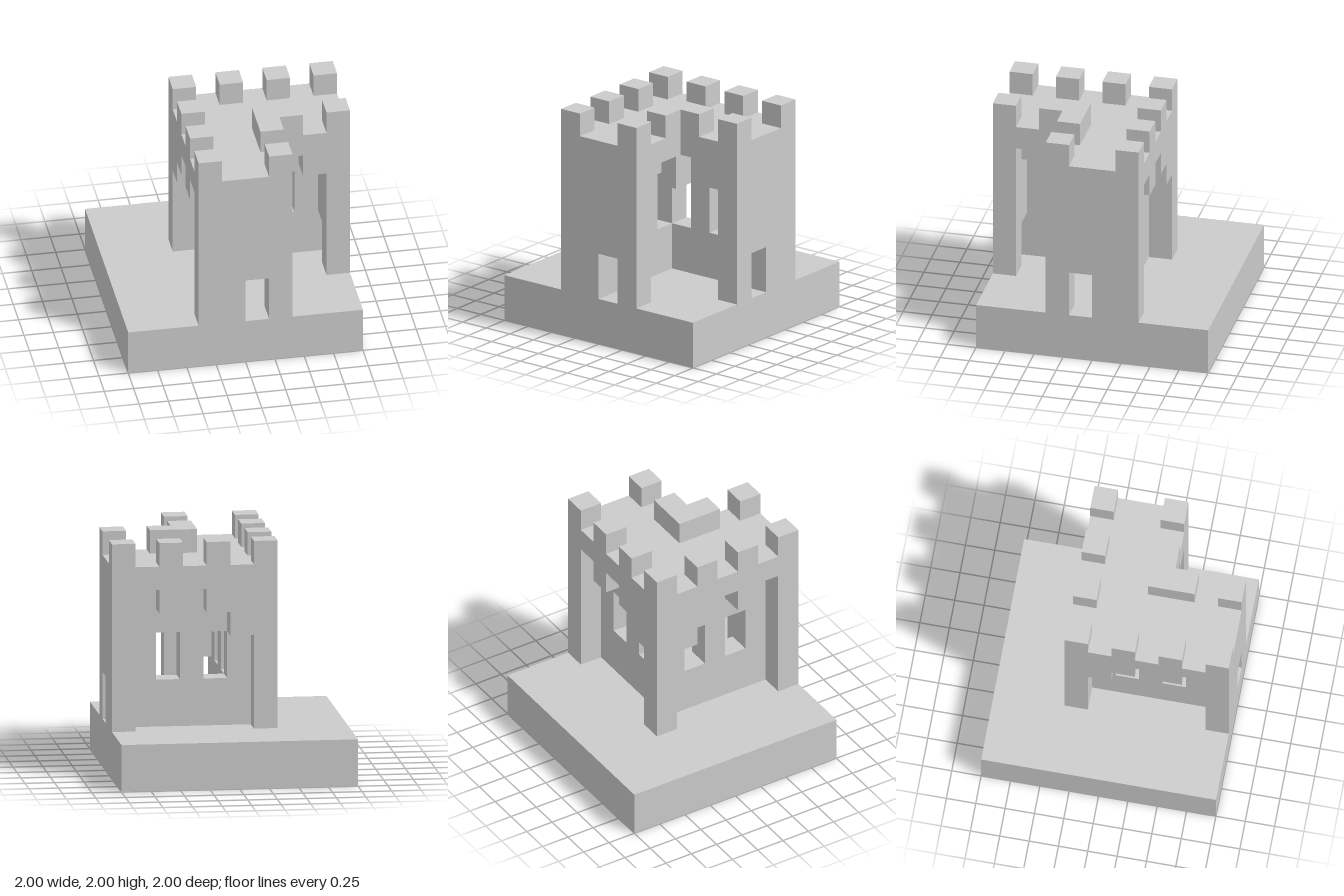
import * as THREE from 'three';

const U = 0.2; // one block
const material = new THREE.MeshStandardMaterial({ color: 0xcccccc, flatShading: true });

export function createModel() {
  const model = new THREE.Group();

  const add = (name, geometry) => {
    const mesh = new THREE.Mesh(geometry, material);
    mesh.name = name;
    model.add(mesh);
    return mesh;
  };

  // Box given by its lower and upper corners
  const box = (name, [x0, y0, z0], [x1, y1, z1]) =>
    add(name, new THREE.BoxGeometry(x1 - x0, y1 - y0, z1 - z0))
      .position.set((x0 + x1) / 2, (y0 + y1) / 2, (z0 + z1) / 2);

  const toShape = (points) => new THREE.Shape(points.map(([x, y]) => new THREE.Vector2(x, y)));

  // Upright wall one block thick: runs along x from depth z, or along z from depth x
  const wall = (name, outline, holes, depth, alongZ) => {
    const shape = toShape(outline);
    shape.holes = holes.map(toShape);
    const geometry = new THREE.ExtrudeGeometry(shape, { depth: U, bevelEnabled: false });
    geometry.translate(0, 0, alongZ ? -depth - U : depth);
    if (alongZ) geometry.rotateY(-Math.PI / 2);
    add(name, geometry);
  };

  // Ground slab
  box('base', [-1, 0, -1], [1, 0.4, 1]);

  // Outer arcade: end pillars joined by a stepped lintel
  const arcade = [[-0.4, 0.4], [-0.2, 0.4]];
  [1.2, 1.4, 1.6, 1.4, 1.6].forEach((y, i) => {
    arcade.push([-0.2 + i * U, y], [-0.2 + (i + 1) * U, y]);
  });
  arcade.push([0.8, 0.4], [1, 0.4], [1, 1.8], [-0.4, 1.8]);

  // Recessed wall with two windows
  const recessed = [[-0.2, 0.4], [0.8, 0.4], [0.8, 1.6], [-0.2, 1.6]];
  const windows = [0, 0.4].map((x) => [[x, 0.8], [x, 1.2], [x + U, 1.2], [x + U, 0.8]]);

  // Short wall with a small doorway
  const doorWall = [[-0.2, 0.4], [0, 0.4], [0, 0.8], [0.2, 0.8], [0.2, 0.4],
    [0.4, 0.4], [0.4, 1.8], [-0.2, 1.8]];

  wall('backArcade', arcade, [], -0.4, false);
  wall('leftArcade', arcade, [], -0.4, true);
  wall('backWindowWall', recessed, windows, -0.2, false);
  wall('sideWindowWall', recessed, windows, -0.2, true);
  wall('frontDoorWall', doorWall, [], 0.8, false);
  wall('sideDoorWall', doorWall, [], 0.8, true);

  // L-shaped roof slab around the open corner
  const roof = new THREE.ExtrudeGeometry(
    toShape([[-0.2, -0.2], [0.8, -0.2], [0.8, 0.4], [0.4, 0.4], [0.4, 0.8], [-0.2, 0.8]]),
    { depth: U, bevelEnabled: false });
  roof.rotateX(Math.PI / 2).translate(0, 1.8, 0);
  add('roof', roof);

  // Blocks hanging below the roof
  box('entranceStep', [0.6, 1.4, 0.2], [0.8, 1.6, 0.4]);
  box('innerCorbel', [0, 1.2, 0], [0.2, 1.6, 0.2]);
  box('innerLintel', [0, 1.4, 0.4], [0.2, 1.6, 0.8]);

  // Battlements, by block column and row counted from the back corner
  const merlons = [[0, 0], [2, 0], [4, 0], [6, 0], [0, 2], [0, 4], [0, 6], [3, 6], [6, 3]];
  for (const [i, k] of merlons) {
    const x = -0.4 + i * U, z = -0.4 + k * U;
    box('merlon', [x, 1.8, z], [x + U, 2, z + U]);
  }

  // Angled battlement over the open corner
  const corner = new THREE.ExtrudeGeometry(
    toShape([[0.2, 0.2], [0.6, 0.2], [0.6, 0.4], [0.4, 0.4], [0.4, 0.6], [0.2, 0.6]]),
    { depth: U, bevelEnabled: false });
  corner.rotateX(Math.PI / 2).translate(0, 2, 0);
  add('cornerMerlon', corner);

  return model;
}
